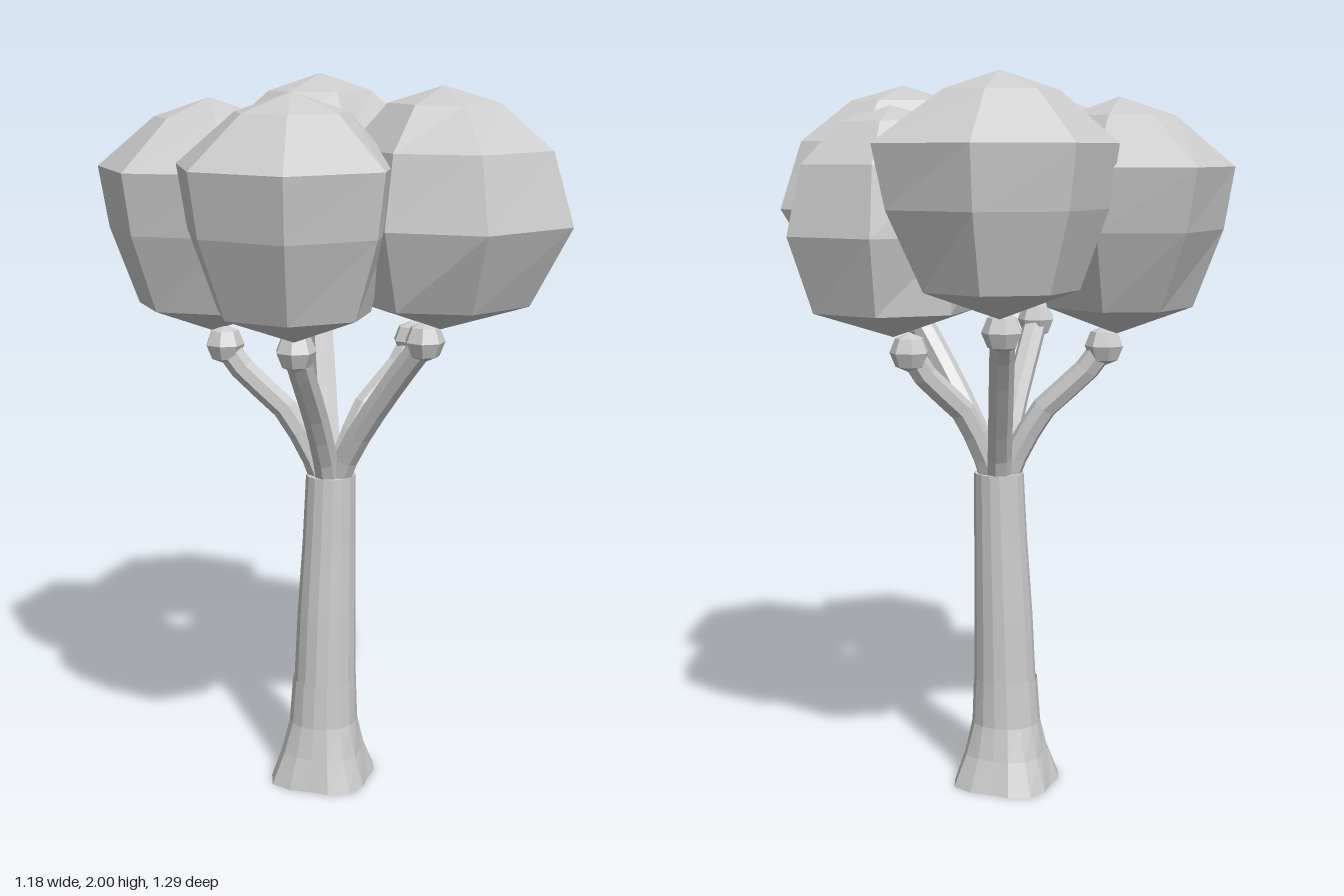
import * as THREE from 'three';

const grey = new THREE.MeshStandardMaterial({ color: 0xcccccc, side: THREE.DoubleSide });
grey.name = 'light grey';

// Gives every face its own normal
function flat(geometry) {
  const g = geometry.index ? geometry.toNonIndexed() : geometry;
  g.computeVertexNormals();
  return g;
}

// Skins equal-length rings of [x, y, z] points, listed from bottom to top
function loft(rings) {
  const n = rings[0].length;
  const indices = [];
  for (let r = 0; r < rings.length - 1; r++) {
    for (let i = 0; i < n; i++) {
      const j = (i + 1) % n;
      const a0 = r * n + i, a1 = r * n + j, b0 = a0 + n, b1 = a1 + n;
      indices.push(a1, a0, b0, a1, b0, b1);
    }
  }
  const g = new THREE.BufferGeometry();
  g.setAttribute('position', new THREE.Float32BufferAttribute(rings.flat(2), 3));
  g.setIndex(indices);
  return flat(g);
}

// A trunk ring; lobe pulls it in on the diagonals, leaving four root ridges
function ring(x, y, z, radius, lobe = 0) {
  const sides = 16;
  return Array.from({ length: sides }, (_, i) => {
    const a = (i / sides) * Math.PI * 2;
    const r = radius * (1 - lobe * (1 - Math.cos(4 * a)) / 2);
    return [x + r * Math.cos(a), y, z + r * Math.sin(a)];
  });
}

// Crown profiles from bottom to top: [share of width, share of height, roundness in plan]
const LOW = [[0.001, 0, 1], [0.77, 0.12, 0.8], [1, 0.45, 0], [0.86, 0.75, 0.2], [0.49, 0.93, 0.7], [0.001, 1, 1]];
const HIGH = [[0.001, 0, 1], [0.68, 0.12, 0.8], [0.92, 0.45, 0.2], [1, 0.71, 0], [0.5, 0.92, 0.7], [0.001, 1, 1]];
const ROUND_RADIUS = 0.3;

// One entry per limb: branch tip, crown axis, height span and plan outline
const LIMBS = [
  { name: 'frontLeft', tip: [0.09, 1.325, 0.29], axis: [0.12, 0.32], span: [1.36, 1.985], profile: LOW,
    outline: [[0.49, 0.32], [0.34, 0.59], [0.05, 0.645], [-0.13, 0.46], [-0.125, 0.19], [0.05, 0.04], [0.33, 0.14]] },
  { name: 'frontRight', tip: [-0.25, 1.315, 0.21], axis: [-0.28, 0.26], span: [1.35, 1.975], profile: HIGH,
    outline: [[-0.04, 0.35], [-0.17, 0.535], [-0.44, 0.53], [-0.58, 0.3], [-0.5, 0.04], [-0.25, 0], [-0.07, 0.12]] },
  { name: 'backRight', tip: [-0.28, 1.275, -0.17], axis: [-0.3, -0.2], span: [1.31, 1.945], profile: HIGH,
    outline: [[-0.045, -0.16], [-0.1, 0.06], [-0.39, 0.08], [-0.595, -0.1], [-0.56, -0.37], [-0.33, -0.565], [-0.09, -0.47]] },
  { name: 'backLeft', tip: [0.09, 1.34, -0.31], axis: [0.12, -0.36], span: [1.38, 2], profile: HIGH,
    outline: [[0.465, -0.37], [0.36, -0.2], [0.08, -0.11], [-0.12, -0.24], [-0.155, -0.48], [0.05, -0.65], [0.3, -0.595]] },
  { name: 'left', tip: [0.24, 1.265, -0.03], axis: [0.29, -0.04], span: [1.31, 1.92], profile: LOW,
    outline: [[0.59, -0.07], [0.48, 0.155], [0.27, 0.24], [0.05, 0.13], [0.02, -0.1], [0.2, -0.26], [0.44, -0.285]] },
];

function crownGeometry({ axis, span, profile, outline }) {
  return loft(profile.map(([share, height, round]) => outline.map(([x, z]) => {
    const dx = x - axis[0], dz = z - axis[1];
    const k = share * THREE.MathUtils.lerp(1, ROUND_RADIUS / Math.hypot(dx, dz), round);
    return [axis[0] + dx * k, THREE.MathUtils.lerp(...span, height), axis[1] + dz * k];
  })));
}

// Branches leave the trunk steeply and lean outwards to the tip
function branchGeometry([x, y, z]) {
  const cx = -0.035, cz = -0.005;
  const at = (out, h) => new THREE.Vector3(cx + (x - cx) * out, h, cz + (z - cz) * out);
  const path = new THREE.CatmullRomCurve3([
    at(0.06, 0.88), at(0.18, 0.97), at(0.47, 1.11), at(0.77, y - 0.09), at(1, y),
  ]);
  return flat(new THREE.TubeGeometry(path, 6, 0.035, 7));
}

export function createModel() {
  const tree = new THREE.Group();
  tree.name = 'tree';

  const add = (name, geometry) => {
    const mesh = new THREE.Mesh(geometry, grey);
    mesh.name = name;
    tree.add(mesh);
    return mesh;
  };

  // Trunk with a closed top, and a flared foot left open underneath
  add('trunk', loft([
    ring(-0.056, 0.28, -0.005, 0.089),
    ring(-0.05, 0.5, -0.005, 0.083),
    ring(-0.041, 0.72, -0.005, 0.075),
    ring(-0.035, 0.91, -0.005, 0.07),
    ring(-0.035, 0.91, -0.005, 0.001),
  ]));
  add('trunkFoot', loft([
    ring(-0.057, 0, -0.015, 0.165, 0.18),
    ring(-0.059, 0.09, -0.01, 0.127, 0.12),
    ring(-0.059, 0.18, -0.007, 0.1, 0.04),
    ring(-0.057, 0.31, -0.005, 0.091),
  ]));

  // Branches, the knobs at their tips and the crowns above them
  for (const limb of LIMBS) {
    add(limb.name + 'Branch', branchGeometry(limb.tip));
    add(limb.name + 'Knob', flat(new THREE.SphereGeometry(0.055, 7, 4))).position.set(...limb.tip);
    add(limb.name + 'Crown', crownGeometry(limb));
  }
  return tree;
}
